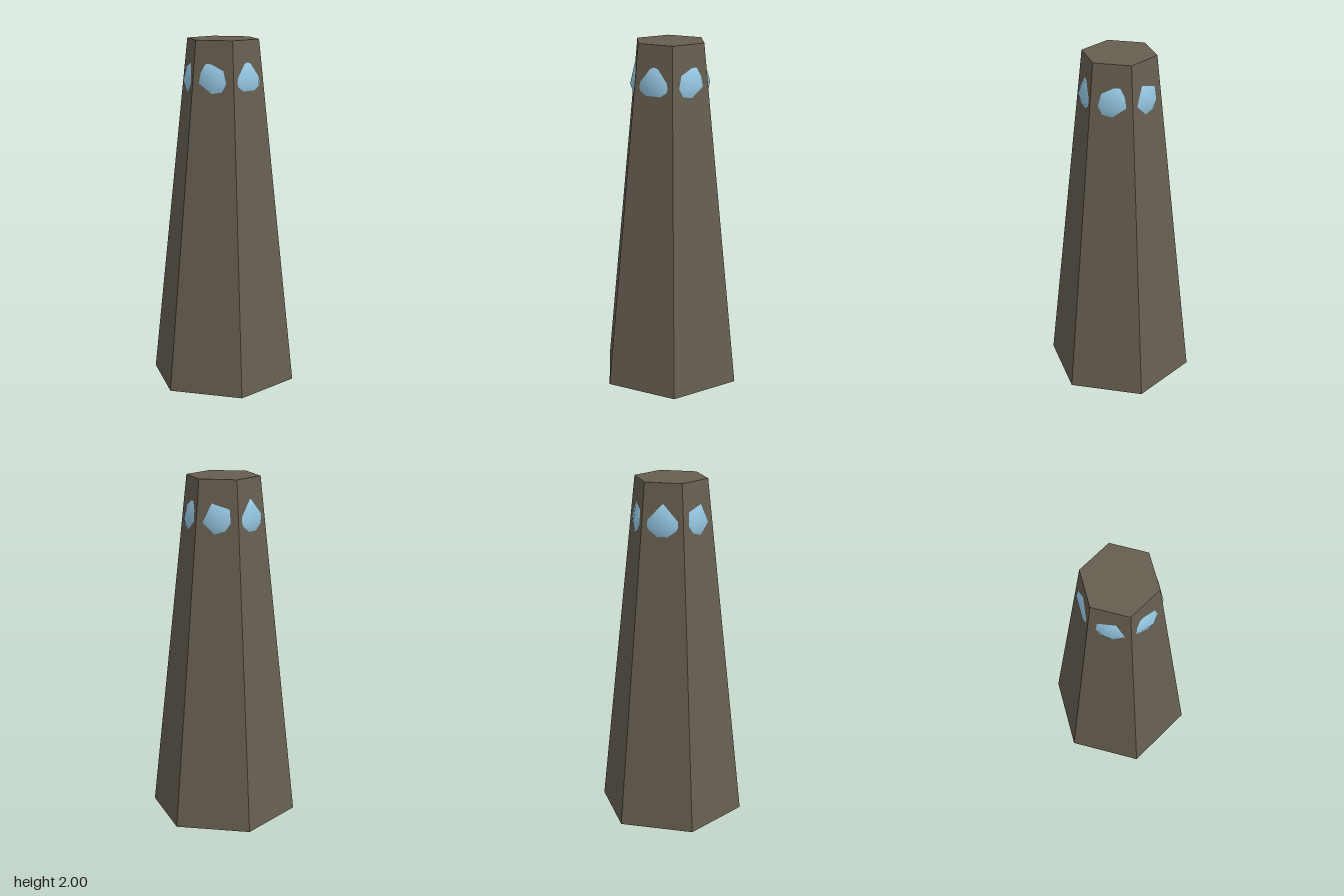
import * as THREE from 'three';

export function createModel() {
  const group = new THREE.Group();
  const stone = new THREE.MeshStandardMaterial({ color: 0x665e50 });
  stone.name = 'stone';
  const glass = new THREE.MeshStandardMaterial({ color: 0x96c8e4 });
  glass.name = 'paleBlueGlass';

  // Tapered six-sided tower with flat faces and a corner facing front
  const towerShape = new THREE.CylinderGeometry(0.21, 0.428, 2, 6).toNonIndexed();
  towerShape.computeVertexNormals();
  const tower = new THREE.Mesh(towerShape, stone);
  tower.name = 'tower';
  tower.position.y = 1;
  group.add(tower);

  // One smooth low-poly ball inside the tower; it bulges through all six walls as round windows.
  // Tilted so that one of its twelve main corners points straight up.
  const lampShape = new THREE.IcosahedronGeometry(0.228, 1);
  lampShape.rotateZ(-Math.atan(2 / (1 + Math.sqrt(5))));
  const lamp = new THREE.Mesh(lampShape, glass);
  lamp.name = 'lampWindows';
  lamp.position.y = 1.764;
  group.add(lamp);

  return group;
}
